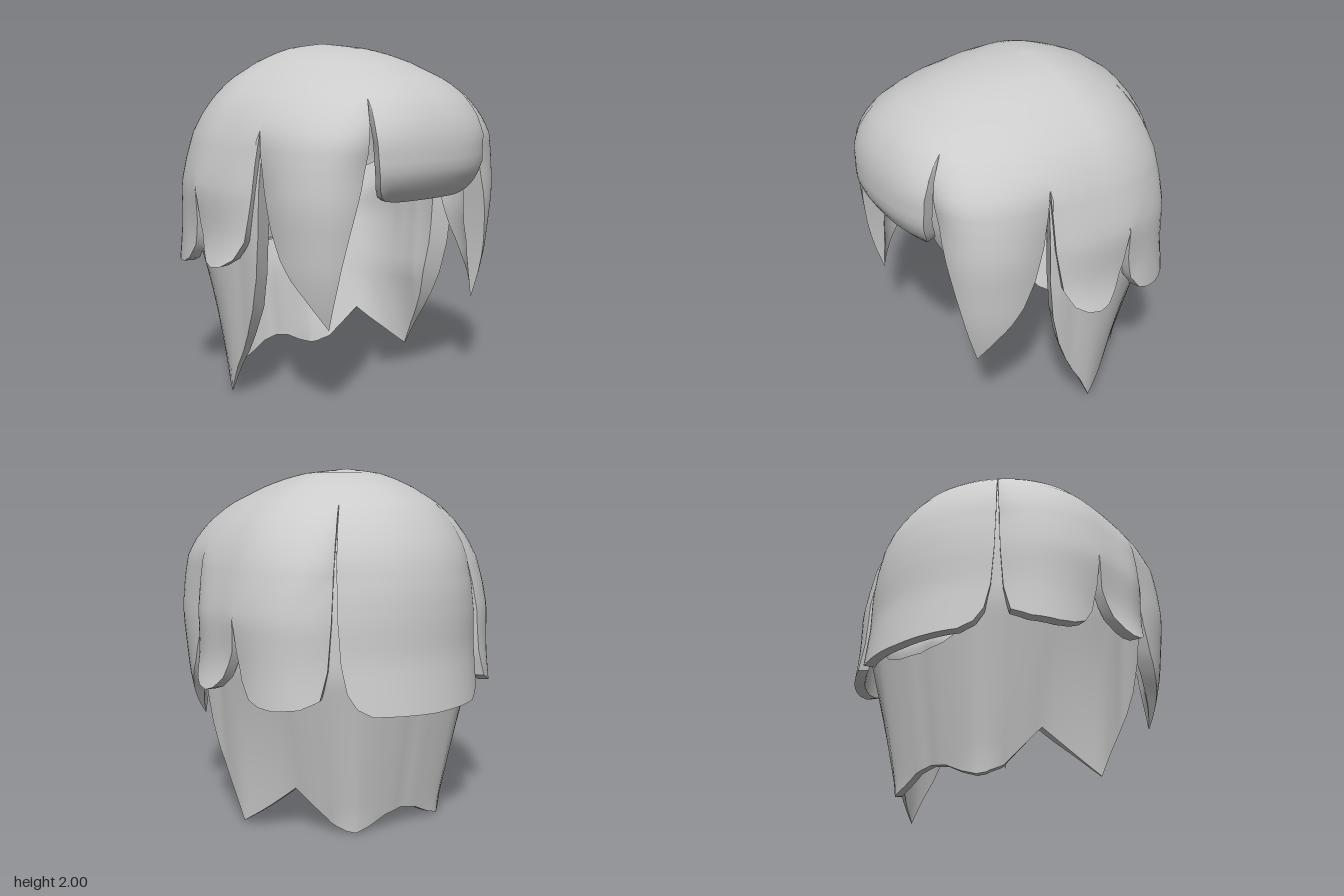
import * as THREE from 'three';
import { mergeGeometries, toCreasedNormals } from 'three/addons/utils/BufferGeometryUtils.js';

const RAD = Math.PI / 180, CENTRE_Z = -0.1;
const { clamp, lerp } = THREE.MathUtils;

// Linear lookup in rows sorted by their first entry; returns column c
function lookup(rows, v, c = 1) {
  if (v <= rows[0][0]) return rows[0][c];
  for (let i = 1; i < rows.length; i++) {
    const a = rows[i - 1], b = rows[i];
    if (v <= b[0]) return lerp(a[c], b[c], (v - a[0]) / (b[0] - a[0]));
  }
  return rows[rows.length - 1][c];
}

// Head sections: height, half width, reach to the front, reach to the back
const SECTIONS = [
  [0.7, 0.83, 1.0, 0.79], [0.9, 0.83, 1.0, 0.76], [1.0, 0.83, 1.0, 0.745], [1.2, 0.83, 1.0, 0.74],
  [1.35, 0.805, 1.0, 0.725], [1.5, 0.775, 0.99, 0.69], [1.6, 0.735, 0.96, 0.65], [1.7, 0.67, 0.9, 0.59],
  [1.8, 0.57, 0.79, 0.51], [1.9, 0.41, 0.58, 0.36], [1.95, 0.3, 0.42, 0.24], [1.98, 0.2, 0.25, 0.15], [2, 0, 0, 0],
];

// Radius of the rounded-square head section in direction deg (0 = front, 90 = left)
function headRadius(deg, y) {
  const w = lookup(SECTIONS, y);
  if (w < 1e-4) return 0;
  const s = Math.abs(Math.sin(deg * RAD)), c = Math.cos(deg * RAD);
  const d = lookup(SECTIONS, y, c > 0 ? 2 : 3), t = clamp((1.95 - y) / 0.45, 0, 1);
  const n = c > 0 ? lerp(2, 3, t) : lerp(1.75, 2.15, t);
  return ((s / w) ** n + (Math.abs(c) / d) ** n) ** (-1 / n);
}

// Thick sheet hanging down to an edge line of [deg, y] points. Level rows run
// down the outside and back up the inside, each stopping at the edge line
// below and at the limit for its direction above.
function sheet({ edge, top, bottom, limit, radius, thick }) {
  const cols = [edge[0]];
  for (let i = 1; i < edge.length; i++) {
    const [a0, y0] = edge[i - 1], [a1, y1] = edge[i], n = Math.max(2, Math.ceil((a1 - a0) / 4));
    for (let k = 1; k <= n; k++) cols.push([lerp(a0, a1, k / n), lerp(y0, y1, k / n)]);
  }
  const ROWS = 34, points = [], index = [], stride = cols.length;
  for (let i = 0; i <= 2 * ROWS + 1; i++) {
    const inner = i > ROWS, s = (inner ? 2 * ROWS + 1 - i : i) / ROWS;
    const level = lerp(top, bottom, s ** 1.7) - (inner ? 0.06 * (1 - s) : 0);
    for (const [a, yEdge] of cols) {
      const y = clamp(level, yEdge, Math.max(yEdge, limit(a)));
      const r = radius(a, y) * (inner ? 1 - thick(a, y) : 1);
      points.push(new THREE.Vector3(r * Math.sin(a * RAD), y, CENTRE_Z + r * Math.cos(a * RAD)));
    }
  }
  const triangle = new THREE.Triangle();
  const face = (...f) => {
    triangle.set(...f.map((k) => points[k]));
    if (triangle.getArea() > 1e-7) index.push(...f);
  };
  for (let i = 0; i <= 2 * ROWS; i++) {
    for (let j = 0; j < stride - 1; j++) {
      const a = i * stride + j, b = a + stride;
      face(a, b, a + 1);
      face(b, b + 1, a + 1);
    }
  }
  return new THREE.BufferGeometry().setFromPoints(points).setIndex(index);
}

// Lock of the upper layer: pinched towards its two side edges, with radius
// scale and thickness given by height
function lock(edge, { pinch, scale = [[0, 1]], thick = [[0, 0.075]] }) {
  const [a0, y0] = edge[0], [a1, y1] = edge[edge.length - 1];
  return sheet({
    edge, top: 2, bottom: 0.5, limit: () => 2,
    radius: (a, y) => {
      const u = (a - a0) / (a1 - a0), free = clamp((lerp(y0, y1, u) - y) / 0.35, 0, 1);
      return headRadius(a, y) * lookup(scale, y) * (1 - pinch[u < 0.5 ? 0 : 1] * free * (2 * u - 1) ** 2);
    },
    thick: (a, y) => lookup(thick, y),
  });
}

const mirror = (edge, about = 0) => edge.map(([a, y]) => [2 * about - a, y]).reverse();

function upperLayer() {
  const locks = [];

  // Fringe, curling in at its lower edge
  const fringe = [[0, 1.17], [15, 1.17], [19, 1.18], [21, 1.2], [22.5, 1.25], [23.5, 1.35], [24.2, 1.5], [25, 1.72]];
  locks.push(lock([...mirror(fringe).slice(0, -1), ...fringe],
    { pinch: [0.04, 0.04], scale: [[1.17, 0.885], [1.21, 0.93], [1.27, 0.97], [1.35, 1]] }));

  // Broad panel over the back of the head
  const back = [[138, 1.81], [138.4, 1.5], [139.2, 1.2], [140.5, 0.98], [143, 0.83], [147, 0.75], [153, 0.71], [180, 0.7]];
  locks.push(lock([...back, ...mirror(back, 180).slice(1)], { pinch: [0.06, 0.06] }));

  // Pairs from front to back: front lock, side lock, rear side lock
  const pairs = [
    [[[25, 1.72], [26.3, 1.45], [28.8, 1.25], [32, 1.05], [34.8, 0.85], [37, 0.65], [38.5, 0.5], [42, 0.58], [46, 0.67],
      [51, 0.77], [55, 0.87], [59, 1.03], [62, 1.22], [63.3, 1.4], [64, 1.55]],
      { pinch: [0.1, 0.09], scale: [[0.5, 0.89], [0.65, 0.93], [0.8, 0.96], [1.1, 0.99], [1.4, 1]],
        thick: [[0.5, 0.005], [0.7, 0.08], [1.0, 0.13], [1.2, 0.12], [1.5, 0.075]] }],
    [[[64, 1.55], [66, 1.2], [69, 0.95], [73, 0.85], [78, 0.805], [83, 0.79], [87, 0.81], [91, 0.87],
      [95.5, 1.02], [97, 1.2]],
      { pinch: [0.07, 0.04], scale: [[0.79, 1.085], [0.87, 1.05], [0.97, 1.03], [1.2, 1.03], [1.35, 1.02], [1.55, 1]] }],
    [[[97, 1.2], [98, 1.02], [100.5, 0.87], [105, 0.78], [110, 0.75], [116, 0.74], [126, 0.755],
      [133, 0.8], [135.5, 0.95], [136.8, 1.2], [137.4, 1.5], [138, 1.81]],
      { pinch: [0.04, 0.08], scale: [[0.74, 1.04], [0.9, 1.03], [1.2, 1.03], [1.35, 1.02], [1.55, 1]] }],
  ];
  for (const [edge, options] of pairs) {
    const [front, rear] = options.pinch;
    locks.push(lock(edge, options), lock(mirror(edge), { ...options, pinch: [rear, front] }));
  }
  return mergeGeometries(locks);
}

// Pointed side locks and a wavy nape, drawn in towards the bottom
function underLayer() {
  const half = [[64, 1.42], [64.5, 1.0], [66, 0.75], [69, 0.55], [73, 0.4], [77, 0.29], [82, 0.18], [88, 0.02],
    [100, 0.12], [115, 0.25], [124, 0.15], [134, 0.05], [136, 0.04], [141, 0.02], [143, 0.01], [148, 0],
    [157, 0.03], [168, 0.08], [180, 0.1]];
  // Direction, radius at the top, radius at the bottom, thickness, share of it
  // left at the tips, upper limit (raised to back the slit behind the side locks)
  const shape = [[64, 0.85, 0.81, 0.15, 0.05, 1.45], [76, 0.79, 0.74, 0.15, 0.05, 1.45],
    [88, 0.775, 0.71, 0.15, 0.05, 1.4], [100, 0.775, 0.64, 0.13, 0.2, 1.3], [115, 0.77, 0.55, 0.09, 0.8, 1.2],
    [130, 0.75, 0.54, 0.07, 1, 1.1], [134, 0.75, 0.545, 0.07, 1, 1.08], [136, 0.745, 0.55, 0.07, 1, 1.75],
    [141, 0.735, 0.56, 0.07, 1, 1.75], [143, 0.73, 0.56, 0.07, 1, 0.98], [148, 0.72, 0.566, 0.07, 1, 0.88],
    [157, 0.69, 0.54, 0.07, 1, 0.75], [165, 0.67, 0.52, 0.07, 1, 0.72], [180, 0.65, 0.5, 0.07, 1, 0.71]];
  const at = (a, c) => lookup(shape, Math.min(a, 360 - a), c);
  return sheet({
    edge: [...half, ...mirror(half, 180).slice(1)], top: 1.75, bottom: 0, limit: (a) => at(a, 5),
    radius: (a, y) => Math.min(lerp(at(a, 1), at(a, 2), clamp((0.9 - y) / 0.85, 0, 1)), headRadius(a, y) - 0.055),
    // Thin at the side tips, and fading out into the upper layer
    thick: (a, y) => at(a, 3) * clamp(y / 0.55, at(a, 4), 1) * clamp((at(a, 5) - y) / 0.18, 0, 1),
  });
}

export function createModel() {
  const material = new THREE.MeshStandardMaterial({ color: 0xcccccc });
  const group = new THREE.Group();
  group.name = 'hair';
  for (const [name, geometry] of Object.entries({ upperLayer: upperLayer(), underLayer: underLayer() })) {
    const mesh = new THREE.Mesh(toCreasedNormals(geometry, 0.7), material);
    mesh.name = name;
    group.add(mesh);
  }
  return group;
}
